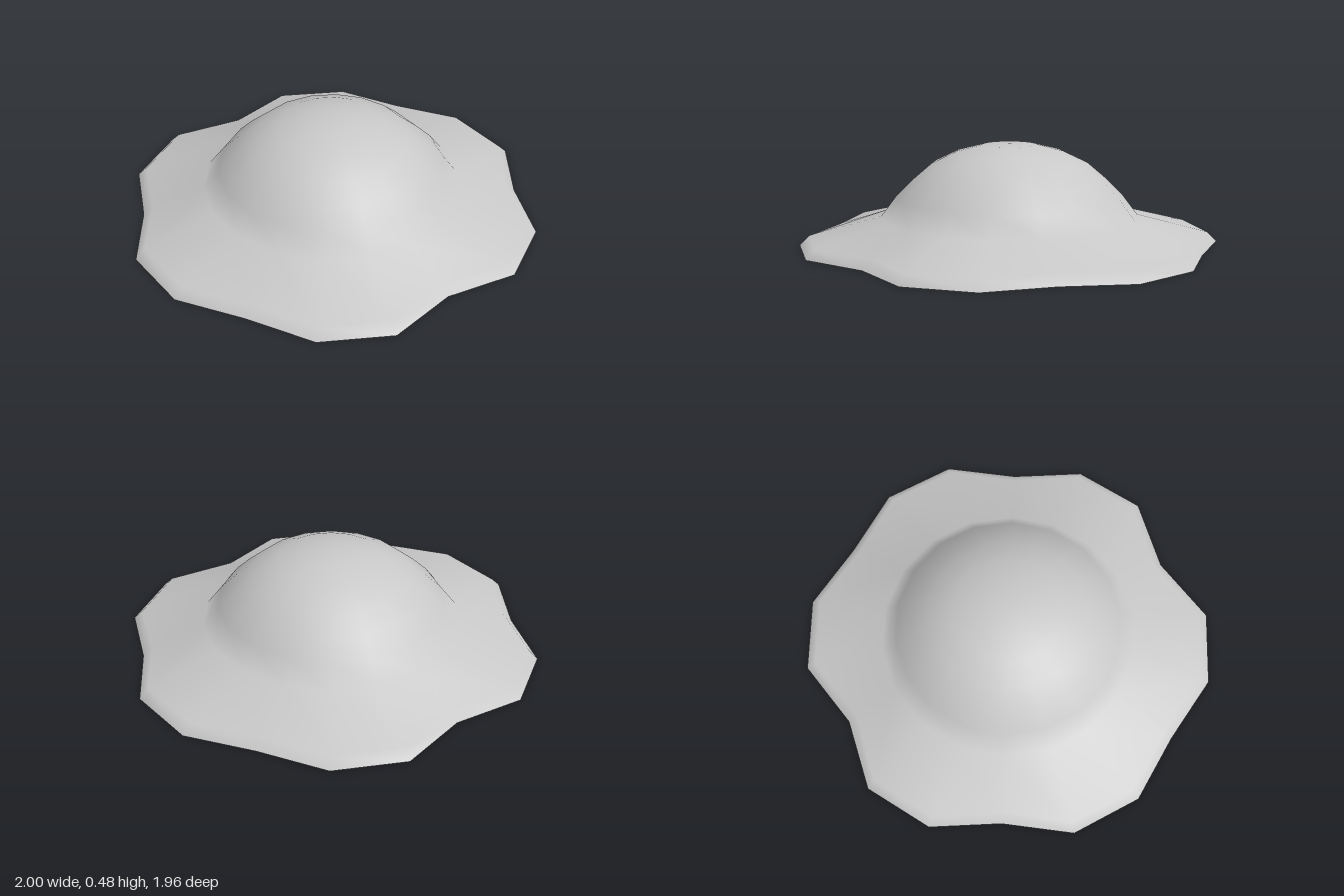
import * as THREE from 'three';
import { mergeVertices } from 'three/addons/utils/BufferGeometryUtils.js';

export function createModel() {
  const group = new THREE.Group();
  group.name = 'domedShell';
  const grey = new THREE.MeshStandardMaterial({ color: 0xc8c8c8, side: THREE.DoubleSide });
  grey.name = 'plain grey';

  // Profile from the rim, over the brim and up the dome
  const profile = [
    [1, 0], [0.955, 0.045], [0.612, 0.135], [0.538, 0.233], [0.46, 0.311],
    [0.37, 0.388], [0.255, 0.443], [0.13, 0.476], [0, 0.482],
  ].map(([r, y]) => new THREE.Vector2(r, y));

  // Rim radius every 20 degrees; the pattern repeats after half a turn
  const rim = [1, 1, 0.907, 0.995, 0.995, 0.872, 0.995, 1, 0.926];

  let shell = new THREE.LatheGeometry(profile, 18, Math.PI / 2);
  const pos = shell.attributes.position;
  for (let i = 0; i < pos.count; i++) {
    const x = pos.getX(i), z = pos.getZ(i);
    const r = Math.hypot(x, z);
    if (r < 0.8) continue;
    // Wavy brim: shift the two outer rings inward by the same amount
    const step = Math.round(Math.atan2(z, x) / (Math.PI / 9)) + 18;
    const k = (r - 1 + rim[step % 9]) / r;
    pos.setX(i, x * k);
    pos.setZ(i, z * k);
  }

  // Weld the seam for smooth shading all round
  shell.deleteAttribute('uv');
  shell.deleteAttribute('normal');
  shell = mergeVertices(shell, 1e-4);
  shell.computeVertexNormals();

  const mesh = new THREE.Mesh(shell, grey);
  mesh.name = 'domeAndWavyBrim';
  group.add(mesh);
  return group;
}
